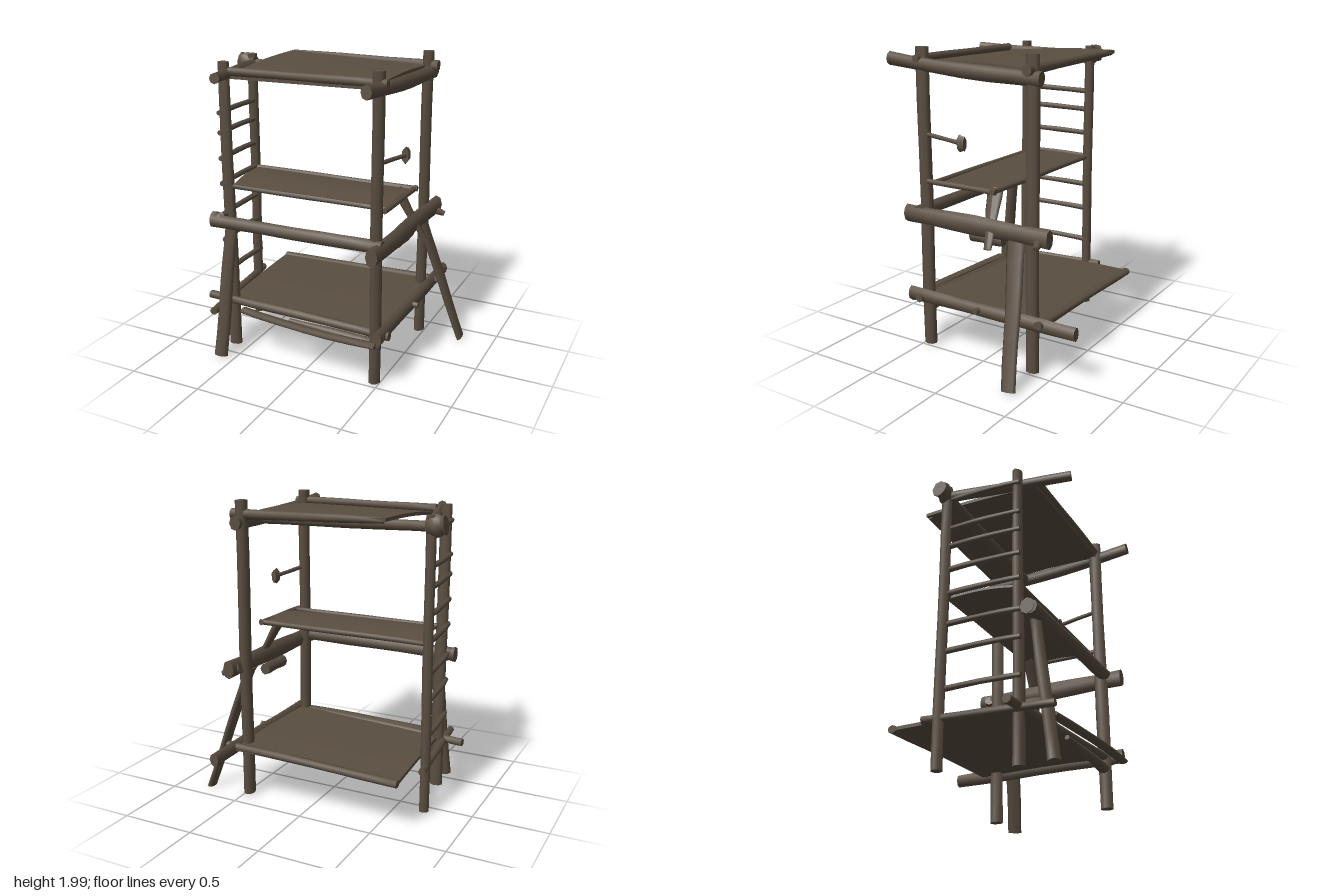
import * as THREE from 'three';

const wood = new THREE.MeshStandardMaterial({ color: 0x5a4e41 });
wood.name = 'weatheredWood';

const V = (p) => new THREE.Vector3(...p);

// Rough log or plank from a to b: w and d are half sizes across, wide is the direction of w.
// taper scales the far end, sag bends the middle by an offset, wobble roughens the bark.
function log(name, a, b, w, { d = w, wide = [1, 0, 0], taper = 1, bend = [0, 0, 0], wobble = 0.06, sides = 8 } = {}) {
  const A = V(a), B = V(b), off = V(bend);
  const axis = B.clone().sub(A), len = axis.length();
  axis.normalize();
  const u = V(wide).addScaledVector(axis, -V(wide).dot(axis)).normalize();
  const v = new THREE.Vector3().crossVectors(u, axis);
  const geo = new THREE.CylinderGeometry(1, 1, 1, sides, 6);
  const pos = geo.attributes.position, p = new THREE.Vector3();
  const seed = a[0] * 7 + a[1] * 5 + a[2] * 3;
  for (let i = 0; i < pos.count; i++) {
    p.fromBufferAttribute(pos, i);
    const t = p.y + 0.5;
    const angle = Math.atan2(p.z, p.x);
    const s = (1 + (taper - 1) * t) * (1 + wobble * Math.sin(t * 9 + seed + 2 * Math.cos(angle)));
    const q = A.clone().addScaledVector(axis, t * len)
      .addScaledVector(u, p.x * w * s).addScaledVector(v, p.z * d * s)
      .addScaledVector(off, 4 * t * (1 - t));
    pos.setXYZ(i, q.x, q.y, q.z);
  }
  geo.computeVertexNormals();
  const mesh = new THREE.Mesh(geo, wood);
  mesh.name = name;
  return mesh;
}

// Warped deck between four corners (back left, back right, front right, front left).
function deck(name, [bl, br, fr, fl], thick, arch) {
  const geo = new THREE.BoxGeometry(1, 1, 1, 8, 1, 8);
  const pos = geo.attributes.position;
  for (let i = 0; i < pos.count; i++) {
    const s = pos.getX(i) + 0.5, t = pos.getZ(i) + 0.5;
    const q = V(bl).lerp(V(br), s).lerp(V(fl).lerp(V(fr), s), t);
    q.y += pos.getY(i) * thick + arch * Math.sin(Math.PI * t);
    pos.setXYZ(i, q.x, q.y, q.z);
  }
  geo.computeVertexNormals();
  const mesh = new THREE.Mesh(geo, wood);
  mesh.name = name;
  return mesh;
}

export function createModel() {
  const g = new THREE.Group();
  g.name = 'bunkFrame';
  const add = (...args) => g.add(log(...args));

  // Upright posts
  add('frontLeftPost', [0.47, 0.02, 0.45], [0.47, 2.0, 0.45], 0.037, { d: 0.045 });
  add('backLeftPost', [0.47, 0.02, -0.355], [0.47, 2.0, -0.355], 0.037, { d: 0.046 });
  add('frontLadderPost', [-0.61, 0.01, 0.37], [-0.622, 1.96, 0.37], 0.046, { d: 0.036, taper: 0.85 });
  add('backLadderPost', [-0.705, 0.03, -0.1], [-0.695, 1.94, -0.1], 0.034);

  // Ladder rungs with a small lump at the middle
  for (const y of [0.53, 0.77, 0.95, 1.16, 1.33, 1.5, 1.63, 1.85]) {
    add('ladderRung', [-0.65, y + 0.006, 0.4], [-0.69, y - 0.006, -0.12], 0.017, { taper: 1.1, bend: [-0.012, 0, 0] });
  }

  // Upper frame and deck
  add('topLeftBeam', [0.5, 1.92, 0.69], [0.48, 1.86, -0.42], 0.034, { d: 0.042, taper: 1.15, bend: [0, -0.015, 0] });
  add('topRightBeam', [-0.48, 1.915, 0.68], [-0.7, 1.87, -0.13], 0.032, { taper: 1.1 });
  add('topFrontBeam', [-0.52, 1.92, 0.46], [0.53, 1.93, 0.46], 0.026, { wide: [0, 0, 1] });
  add('topBackBeam', [-0.5, 1.925, -0.36], [0.54, 1.91, -0.355], 0.02, { wide: [0, 0, 1], taper: 1.7 });
  add('topCrossBeam', [-0.79, 1.875, -0.1], [0.5, 1.86, -0.12], 0.034, { wide: [0, 0, 1] });
  add('beamKnob', [-0.79, 1.885, -0.1], [-0.67, 1.87, -0.1], 0.05, { d: 0.065, wide: [0, 0, 1], taper: 0.9, wobble: 0.15 });
  g.add(deck('topDeck', [[-0.52, 1.93, -0.38], [0.46, 1.9, -0.33], [0.46, 1.9, 0.47], [-0.53, 1.885, 0.46]], 0.022, 0.015));

  // Middle shelf, its edge rods and its support
  g.add(deck('middleShelf', [[-0.66, 1.145, -0.09], [0.5, 1.145, -0.09], [0.48, 1.145, 0.33], [-0.59, 1.145, 0.37]], 0.016, 0.02));
  add('shelfFrontRod', [-0.6, 1.15, 0.37], [0.5, 1.155, 0.36], 0.016);
  add('shelfBackRod', [-0.7, 1.15, -0.09], [0.52, 1.155, -0.09], 0.018);
  add('shelfEndRod', [0.5, 1.155, 0.41], [0.5, 1.155, -0.11], 0.018);
  add('shelfBrace', [0.4, 1.15, -0.04], [0.58, 0.81, -0.1], 0.06, { d: 0.025, wide: [0, 0, 1], taper: 0.45 });

  // Middle rails
  add('middleFrontRail', [-0.68, 0.935, 0.48], [0.52, 0.95, 0.48], 0.043, { wide: [0, 0, 1] });
  add('railKnob', [-0.69, 0.94, 0.46], [-0.6, 0.94, 0.46], 0.048, { wide: [0, 0, 1], wobble: 0.12 });
  add('middleSideRail', [0.5, 0.92, 0.59], [0.51, 0.925, -0.5], 0.04, { d: 0.062, wobble: 0.09 });
  add('railStub', [0.47, 0.93, -0.42], [0.59, 0.88, -0.45], 0.04, { taper: 0.45, wide: [0, 0, 1] });
  add('railBlock', [0.46, 0.84, 0.1], [0.46, 0.84, -0.14], 0.035, { d: 0.04 });

  // Slanted prop legs
  add('sideProp', [0.77, 0.015, -0.37], [0.5, 0.88, -0.26], 0.05, { d: 0.02, wide: [0, 0, 1], taper: 1.25 });
  add('frontProp', [-0.6, 0.015, 0.575], [-0.555, 0.93, 0.45], 0.05, { d: 0.038, taper: 0.9 });

  // Lower frame and deck
  add('lowerSideBeam', [0.525, 0.375, 0.56], [0.52, 0.37, -0.69], 0.032, { d: 0.046 });
  add('lowerFrontBeam', [-0.79, 0.345, 0.385], [0.57, 0.365, 0.46], 0.028, { wide: [0, 0, 1] });
  add('lowerBackBeam', [-0.66, 0.35, -0.45], [0.57, 0.385, -0.45], 0.032, { d: 0.024, wide: [0, 0, 1] });
  add('lowerLadderBeam', [-0.63, 0.34, 0.6], [-0.72, 0.34, -0.2], 0.025);
  add('hangingPole', [-0.46, 0.345, 0.5], [0.52, 0.335, 0.56], 0.035, { d: 0.018, wide: [0, 0, 1], bend: [0, -0.005, 0.025] });
  add('underPole', [-0.14, 0.315, 0.45], [0.47, 0.285, 0.45], 0.015, { taper: 2.6 });
  g.add(deck('lowerDeck', [[-0.66, 0.35, -0.46], [0.5, 0.375, -0.48], [0.5, 0.375, 0.46], [-0.61, 0.35, 0.42]], 0.022, 0.008));
  add('beamPeg', [0.5, 0.38, 0.0], [0.585, 0.38, 0.0], 0.025, { wide: [0, 0, 1], taper: 0.7 });

  // Hanging peg with a broad head
  add('pegShaft', [0.48, 1.455, 0.42], [0.52, 1.435, 0.12], 0.014);
  add('pegHead', [0.52, 1.435, 0.145], [0.52, 1.435, 0.1], 0.024, { d: 0.055, taper: 0.8, sides: 6 });

  return g;
}
